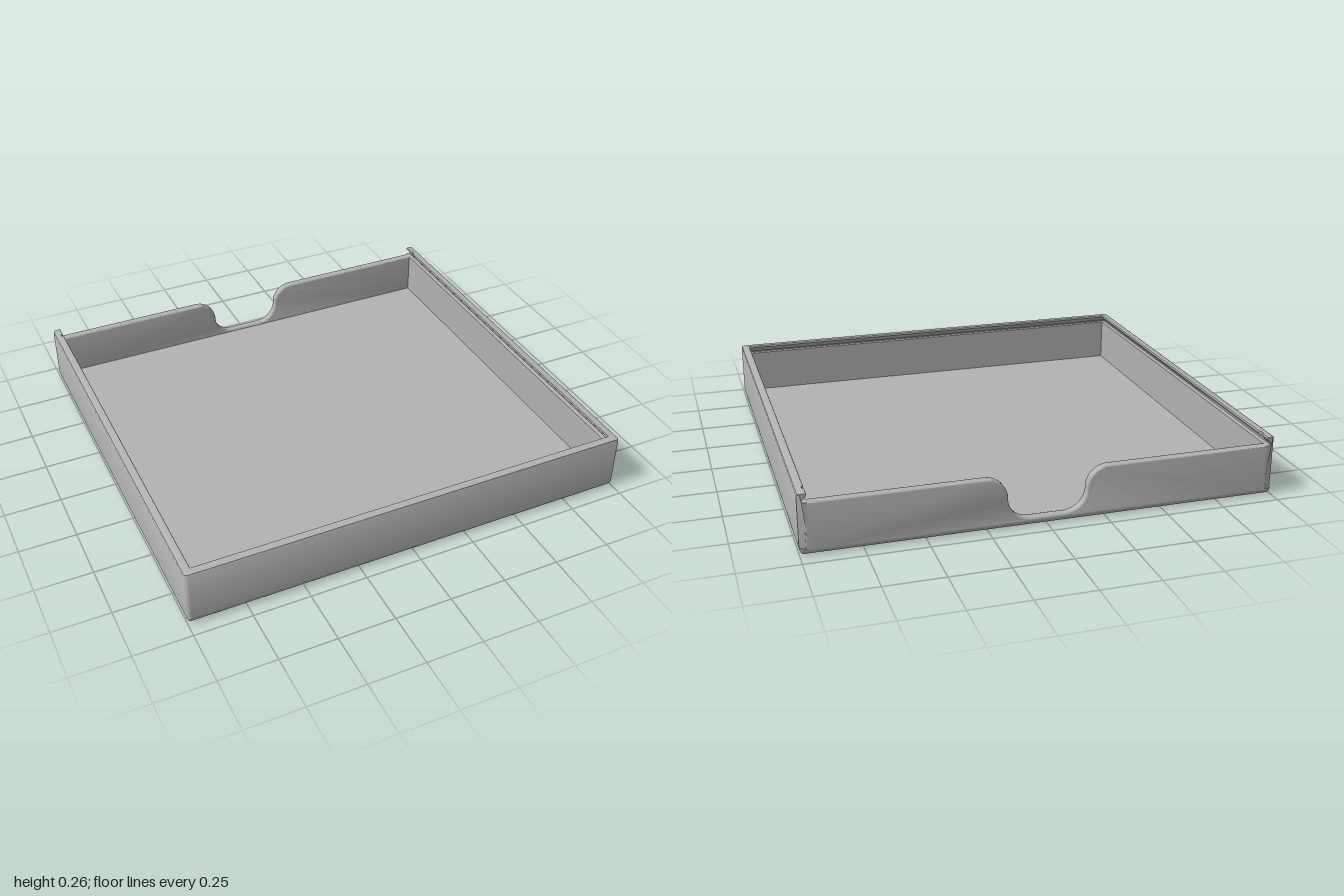
import * as THREE from 'three';
import { toCreasedNormals } from 'three/addons/utils/BufferGeometryUtils.js';

const HX = 1, HZ = 0.94, R = 0.015; // half sizes and corner radius
const FLOOR = 0.03, LEDGE = 0.225, TOP = 0.262, WALL = 0.037;

// A station maps a profile point (inset d, height y) to a position in space.
function corner(sx, sz, from) {
  return [0, 1, 2, 3, 4].map((k) => ([d, y]) => {
    const a = from - (k / 4) * Math.PI / 2;
    const r = Math.max(R - d, 0), c = Math.max(R, d);
    return [sx * (HX - c) + r * Math.cos(a), y, sz * (HZ - c) + r * Math.sin(a)];
  });
}

// Open back end of a side wall, following the rounded corner
const backEnd = (sx) => ([d, y]) => {
  const t = Math.max(R - d, 0);
  return [sx * (HX - d), y, -HZ + R - Math.sqrt(R * R - t * t)];
};

// Straight part of a side wall; dent cuts into the lip
const side = (sx, z, dent) => ([d, y]) =>
  [sx * (HX - d + (d > 0.03 && y > 0.24 ? dent : 0)), y, z];

// Sweep a profile through the stations, optionally closing the loop or the ends
function sweep(profile, stations, { loop = false, caps = false } = {}) {
  const pos = stations.flatMap((s) => profile.flatMap((p) => s(p)));
  const n = profile.length, m = stations.length, idx = [];
  for (let i = 0; i < (loop ? m : m - 1); i++) {
    for (let j = 0; j < (caps ? n : n - 1); j++) {
      const i2 = (i + 1) % m, j2 = (j + 1) % n;
      const a = i * n + j, b = i2 * n + j, c = i2 * n + j2, d = i * n + j2;
      idx.push(a, b, c, a, c, d);
    }
  }
  if (caps) {
    const faces = THREE.ShapeUtils.triangulateShape(profile.map(([d, y]) => new THREE.Vector2(d, y)), []);
    for (const base of [0, (m - 1) * n]) {
      for (const f of faces) {
        const [a, b, c] = f.map((k) => base + k);
        const area = (pos[3 * b] - pos[3 * a]) * (pos[3 * c + 1] - pos[3 * a + 1])
          - (pos[3 * b + 1] - pos[3 * a + 1]) * (pos[3 * c] - pos[3 * a]);
        if (area < 0) idx.push(a, b, c); else idx.push(a, c, b); // face the back
      }
    }
  }
  const g = new THREE.BufferGeometry();
  g.setAttribute('position', new THREE.Float32BufferAttribute(pos, 3));
  g.setIndex(idx);
  return toCreasedNormals(g, 0.6);
}

export function createModel() {
  const model = new THREE.Group();
  model.name = 'slidingLidTray';
  const grey = new THREE.MeshStandardMaterial({ color: 0xb2b2b2 });
  grey.name = 'grey plastic';
  const add = (name, geometry) => {
    const mesh = new THREE.Mesh(geometry, grey);
    mesh.name = name;
    model.add(mesh);
  };

  // Base slab with a rounded lower edge
  const baseProfile = [[HZ, 0]];
  for (let k = 0; k <= 6; k++) {
    const a = (k / 6) * Math.PI / 2;
    baseProfile.push([FLOOR * (1 - Math.sin(a)), FLOOR * (1 - Math.cos(a))]);
  }
  baseProfile.push([HZ, FLOOR]);
  const frontCorners = [...corner(-1, 1, Math.PI), ...corner(1, 1, Math.PI / 2)];
  add('base', sweep(baseProfile,
    [...corner(-1, -1, Math.PI * 1.5), ...frontCorners, ...corner(1, -1, 0)], { loop: true }));

  // Side and front walls with an undercut groove for the lid
  const wallProfile = [
    [0, FLOOR], [0, 0.252], [0.003, 0.259], [0.01, TOP], [0.035, TOP], [WALL, 0.259], [WALL, 0.254],
    [0.017, 0.231], [0.017, LEDGE], [WALL, LEDGE], [WALL, FLOOR],
  ];
  const dents = [[-0.895, 0], [-0.885, 0.008], [-0.875, 0.008], [-0.865, 0]];
  add('sideAndFrontWalls', sweep(wallProfile, [
    backEnd(-1),
    ...dents.map(([z, d]) => side(-1, z, d)),
    ...frontCorners,
    ...dents.map(([z, d]) => side(1, z, d)).reverse(),
    backEnd(1),
  ], { caps: true }));

  // Lower back wall with a rounded finger notch
  const low = 0.038, r = (LEDGE - low) / 2, mid = 0.167, x = HX - 0.025;
  const s = new THREE.Shape();
  s.moveTo(-x, 0.018);
  s.lineTo(x, 0.018);
  s.lineTo(x, LEDGE);
  s.lineTo(mid + r, LEDGE);
  s.absarc(mid + r, LEDGE - r, r, Math.PI / 2, Math.PI, false);
  s.absarc(mid - r, low + r, r, 0, -Math.PI / 2, true);
  s.lineTo(-mid + r, low);
  s.absarc(-mid + r, low + r, r, -Math.PI / 2, -Math.PI, true);
  s.absarc(-mid - r, LEDGE - r, r, 0, Math.PI / 2, false);
  s.lineTo(-x, LEDGE);
  const bevel = 0.007;
  const back = new THREE.ExtrudeGeometry(s, {
    depth: WALL - 2 * bevel, curveSegments: 12, bevelEnabled: true,
    bevelSize: bevel, bevelThickness: bevel, bevelOffset: -bevel, bevelSegments: 3,
  });
  back.translate(0, 0, -HZ + bevel);
  add('backWall', toCreasedNormals(back, 0.6));

  return model;
}
